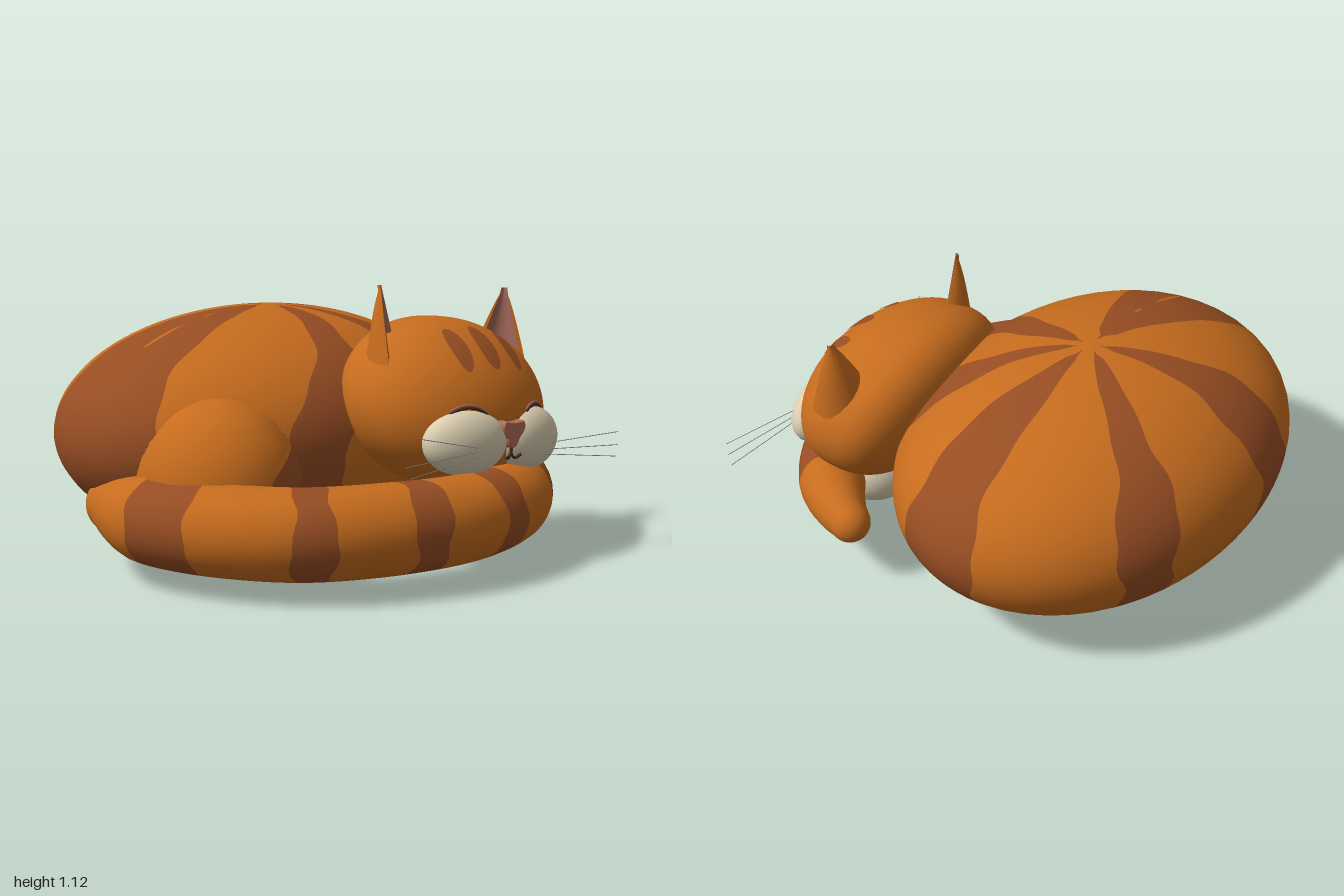
import * as THREE from 'three';
import { mergeVertices, toCreasedNormals } from 'three/addons/utils/BufferGeometryUtils.js';

const mat = (name, color) => new THREE.MeshStandardMaterial({ name, color });
const V = (x, y, z) => new THREE.Vector3(x, y, z);
const { lerp, clamp, degToRad } = THREE.MathUtils;

export function createModel() {
  const fur = mat('orange fur', 0xc66c1e);
  const stripe = mat('brown stripe', 0x974d23);
  const cream = mat('cream fur', 0xdacdb0);
  const pink = mat('nose pink', 0xb26c56);
  const earPink = mat('inner ear', 0xa0685c);
  const dark = mat('dark line', 0x4a281c);
  const grey = mat('whisker grey', 0x8c8c86);

  const model = new THREE.Group();
  model.name = 'sleepingCat';

  function add(parent, name, geometry, material) {
    const m = new THREE.Mesh(geometry, material);
    m.name = name;
    parent.add(m);
    return m;
  }

  // Surface f(u, v) cut along u into sectors whose borders may wander with v
  function surface(f, count, edge, sub, rows, matOf, v0, v1) {
    const pos = [], index = [], geo = new THREE.BufferGeometry();
    const cols = count * sub + 1;
    for (let r = 0; r <= rows; r++) {
      const v = lerp(v0, v1, r / rows);
      for (let c = 0; c < cols; c++) {
        const k = Math.min(Math.floor(c / sub), count - 1);
        const u = lerp(edge(k, v), edge(k + 1, v), (c - k * sub) / sub);
        pos.push(...f(u, v).toArray());
      }
    }
    for (let k = 0; k < count; k++) {
      geo.addGroup(index.length, sub * rows * 6, matOf(k));
      for (let c = k * sub; c < (k + 1) * sub; c++) {
        for (let r = 0; r < rows; r++) {
          const a = r * cols + c, d = a + cols;
          index.push(a, a + 1, d + 1, a, d + 1, d);
        }
      }
    }
    geo.setAttribute('position', new THREE.Float32BufferAttribute(pos, 3));
    geo.setIndex(index);
    const merged = mergeVertices(geo, 1e-5);
    merged.computeVertexNormals();
    return merged;
  }

  function ellipsoid(parent, name, p, r, material) {
    const m = add(parent, name, new THREE.SphereGeometry(1, 40, 28).scale(...r), material);
    m.position.set(...p);
    return m;
  }

  function tube(parent, name, points, radius, material, seg = 16) {
    const curve = new THREE.CatmullRomCurve3(points);
    return add(parent, name, new THREE.TubeGeometry(curve, seg, radius, 6), material);
  }

  // Body: stripes meet at poles set slightly off centre; third value bends a stripe
  const bands = [[-115, -96, 0], [-66, -50, 0], [-8, 20, 0], [48, 64, 0], [98, 116, 15], [152, 204, 0]];
  function bodyPoint(a, t) {
    const r = Math.sin(t);
    const x = 0.045 * (1 - r) + r * Math.cos(a), z = 0.015 * (1 - r) + r * Math.sin(a);
    const y = Math.sign(Math.cos(t)) * Math.sqrt(Math.max(0, 1 - x * x - z * z));
    return V(0.035 + 0.95 * x, 0.497 + 0.495 * y, -0.285 + 0.715 * z);
  }
  function bodyEdge(j, t) {
    const i = j % 12, [a, b, bend] = bands[i >> 1];
    const open = clamp((Math.sin(t) - 0.07) / 0.05, 0, 1);
    const wave = 1.3 * Math.sin(6 * t + i * 2.1) + 0.6 * Math.sin(15 * t + i * 1.3);
    const half = (i % 2 ? 1 : -1) * (b - a) / 2;
    const deg = (a + b) / 2 + bend * clamp(t - 1.57, -1.2, 0.1) + open * (half + wave);
    return degToRad(deg + (j === 12 ? 360 : 0));
  }
  add(model, 'body', surface(bodyPoint, 12, bodyEdge, 6, 72, k => (k % 2 ? 0 : 1), 0, Math.PI), [fur, stripe]);

  // Slivers of orange inside the wide side stripe
  [[0.5, 0.78, 0.022], [0.33, 0.39, 0.02]].forEach(([t0, t1, w]) => {
    const sliver = surface((a, t) => bodyPoint(a, t).add(V(0, 0.004, 0)), 1,
      (k, t) => degToRad(176) + (k - 0.5) * 2 * w * Math.sqrt(Math.sin(Math.PI * clamp((t - t0) / (t1 - t0), 0, 1))),
      2, 12, () => 0, t0, t1);
    add(model, 'sideSliver', sliver, [fur]);
  });

  // Haunch, with a stripe running down towards the body
  const haunchPoint = (a, t) => V(-0.54 + 0.32 * Math.cos(a) * Math.sin(t),
    0.375 + 0.335 * Math.cos(t), 0.125 + 0.335 * Math.sin(a) * Math.sin(t));
  const haunchEdge = (k, t) => degToRad([-10, 95 - 105 * clamp(Math.abs(t - 1.6) / 0.8, 0, 1) ** 2, 350][k]);
  add(model, 'haunch', surface(haunchPoint, 2, haunchEdge, 24, 36, k => 1 - k, 0, Math.PI), [fur, stripe]);
  ellipsoid(model, 'tuckedPaw', [0.42, 0.25, 0.55], [0.21, 0.155, 0.155], cream);

  // Tail curling round the front, banded along its length
  const path = [[-0.76, -0.25], [-0.82, 0.05], [-0.75, 0.33], [-0.55, 0.6], [-0.25, 0.76],
    [0.12, 0.83], [0.45, 0.76], [0.68, 0.6], [0.8, 0.44], [0.845, 0.345]];
  const heights = [0.25, 0.25, 0.25, 0.245, 0.245, 0.245, 0.25, 0.27, 0.29, 0.295];
  const radii = [0.12, 0.17, 0.175, 0.175, 0.175, 0.17, 0.165, 0.14, 0.105, 0.082];
  const tailCurve = new THREE.CatmullRomCurve3(path.map((p, i) => V(p[0], heights[i], p[1])));
  const marks = [0, 1.15, 1.95, 2.95, 3.32, 4.12, 4.47, 5.1, 5.47, 6.3, 7.0, 9];
  function tailPoint(u, v) {
    const t = clamp(u / 9, 0, 1), i = Math.min(Math.floor(t * 9), 8);
    const r = lerp(radii[i], radii[i + 1], t * 9 - i);
    const side = tailCurve.getTangent(t).cross(V(0, 1, 0)).normalize();
    return tailCurve.getPoint(t).addScaledVector(side, r * Math.cos(v)).add(V(0, r * Math.sin(v), 0));
  }
  const tailEdge = (j, v) => marks[j] + (j % 11 ? 0.03 * Math.sin(3 * v + j * 2) + 0.015 * Math.sin(7 * v + j) : 0);
  add(model, 'tail', surface(tailPoint, 11, tailEdge, 8, 32, k => k % 2, 0, Math.PI * 2), [fur, stripe]);
  ellipsoid(model, 'tailTip', [0.845, 0.295, 0.345], [0.082, 0.082, 0.082], fur);
  ellipsoid(model, 'tailRoot', [-0.76, 0.25, -0.25], [0.12, 0.12, 0.12], fur);

  // Head: wide ellipsoid, blunter at the back and leaning backwards
  const head = new THREE.Group();
  head.name = 'head';
  head.position.set(0.35, 0.635, 0.5);
  head.rotation.z = -0.07;
  model.add(head);
  const headPoint = (x, y, z) => V(0.47 * x, 0.338 * y,
    (z >= 0 ? 0.33 * z : -0.31 * Math.pow(-z, 0.65)) - 0.07 * y);
  add(head, 'skull', surface((a, t) => headPoint(Math.cos(a) * Math.sin(t), Math.cos(t), Math.sin(a) * Math.sin(t)),
    1, k => k * Math.PI * 2, 72, 44, () => 0, 0, Math.PI), [fur]);

  // Forehead stripes laid on the skull
  [-0.3, 0.02, 0.36].forEach(cx => {
    const geo = new THREE.RingGeometry(0.001, 1, 24, 6);
    const p = geo.attributes.position;
    for (let i = 0; i < p.count; i++) {
      const el = 0.8 + 0.33 * p.getY(i);
      const d = V(cx + 0.1 * p.getX(i) + 0.03 * p.getY(i), Math.sin(el), Math.cos(el)).normalize();
      const q = headPoint(d.x, d.y, d.z).multiplyScalar(1.012);
      p.setXYZ(i, q.x, q.y, q.z);
    }
    geo.computeVertexNormals();
    add(head, 'foreheadStripe', geo, stripe);
  });

  for (const s of [-1, 1]) {
    // Cupped ear: outer arc, rim, inner arc, rim
    const earPoint = (u, v) => {
      const t = s > 0 ? 1 - v : v;
      const along = u <= 1 ? u : u <= 2 ? 1 : u <= 3 ? 3 - u : 0;
      const inset = u <= 1 ? 0 : u <= 2 ? u - 1 : u <= 3 ? 1 : 4 - u;
      const a = degToRad(lerp(-140, 32, along));
      const k = Math.max(Math.pow(1 - t, 0.8), 0.1);
      const r = (0.13 - 0.026 * inset) * k;
      return V(0.012 + s * (lerp(0.3, 0.37, t) + r * Math.cos(a)), lerp(0.12, 0.46, t),
        lerp(-0.005, -0.055, t) + r * Math.sin(a));
    };
    const ear = surface(earPoint, 4, k => k, 10, 12, k => (k === 2 ? 1 : 0), 0, 1);
    add(head, s > 0 ? 'leftEar' : 'rightEar', toCreasedNormals(ear, 0.8), [fur, earPink]);

    // Cheek of the muzzle
    const cheek = ellipsoid(head, 'cheek', [s * 0.185, -0.122, 0.277], [0.19, 0.13, 0.1], cream);
    cheek.rotation.y = s * 0.2;

    // Closed eye: dark lash line under a thin lid, resting on the cheek
    const arc = lift => [-1, -0.5, 0, 0.5, 1].map(k => {
      const x = (s * 0.195 + 0.08 * k) / 0.47, y = (lift + 0.026 * (1 - k * k)) / 0.338;
      return headPoint(x, y, Math.sqrt(1 - x * x - y * y));
    });
    tube(head, 'closedEye', arc(-0.012), 0.006, dark);
    tube(head, 'eyelid', arc(-0.003), 0.006, earPink);

    // Half of the mouth
    tube(head, 'mouth', [V(0, -0.13, 0.358), V(0, -0.16, 0.356), V(s * 0.02, -0.183, 0.36),
      V(s * 0.043, -0.168, 0.372)], 0.006, dark);
  }

  // Nose: soft inverted triangle
  const n = new THREE.Shape();
  n.moveTo(0, -0.055);
  n.quadraticCurveTo(0.022, -0.05, 0.028, -0.02);
  n.quadraticCurveTo(0.075, 0.02, 0.05, 0.042);
  n.quadraticCurveTo(0, 0.03, -0.05, 0.042);
  n.quadraticCurveTo(-0.075, 0.02, -0.028, -0.02);
  n.quadraticCurveTo(-0.022, -0.05, 0, -0.055);
  const nose = add(head, 'nose', new THREE.ExtrudeGeometry(n,
    { depth: 0.05, bevelSize: 0.006, bevelThickness: 0.008, bevelSegments: 3 }), pink);
  nose.position.set(0, -0.083, 0.312);

  // Whiskers: start and tip of each
  const whiskers = [
    [[0.13, 0.52, 0.87], [-0.25, 0.61, 0.91]], [[0.13, 0.505, 0.87], [-0.31, 0.51, 0.91]],
    [[0.13, 0.485, 0.87], [-0.28, 0.465, 0.91]], [[0.55, 0.485, 0.86], [0.95, 0.49, 0.915]],
    [[0.55, 0.46, 0.86], [0.95, 0.435, 0.915]], [[0.55, 0.44, 0.86], [0.95, 0.385, 0.905]]];
  whiskers.forEach(([a, b]) => tube(model, 'whisker', [V(...a), V(...b)], 0.0016, grey, 2));

  return model;
}
